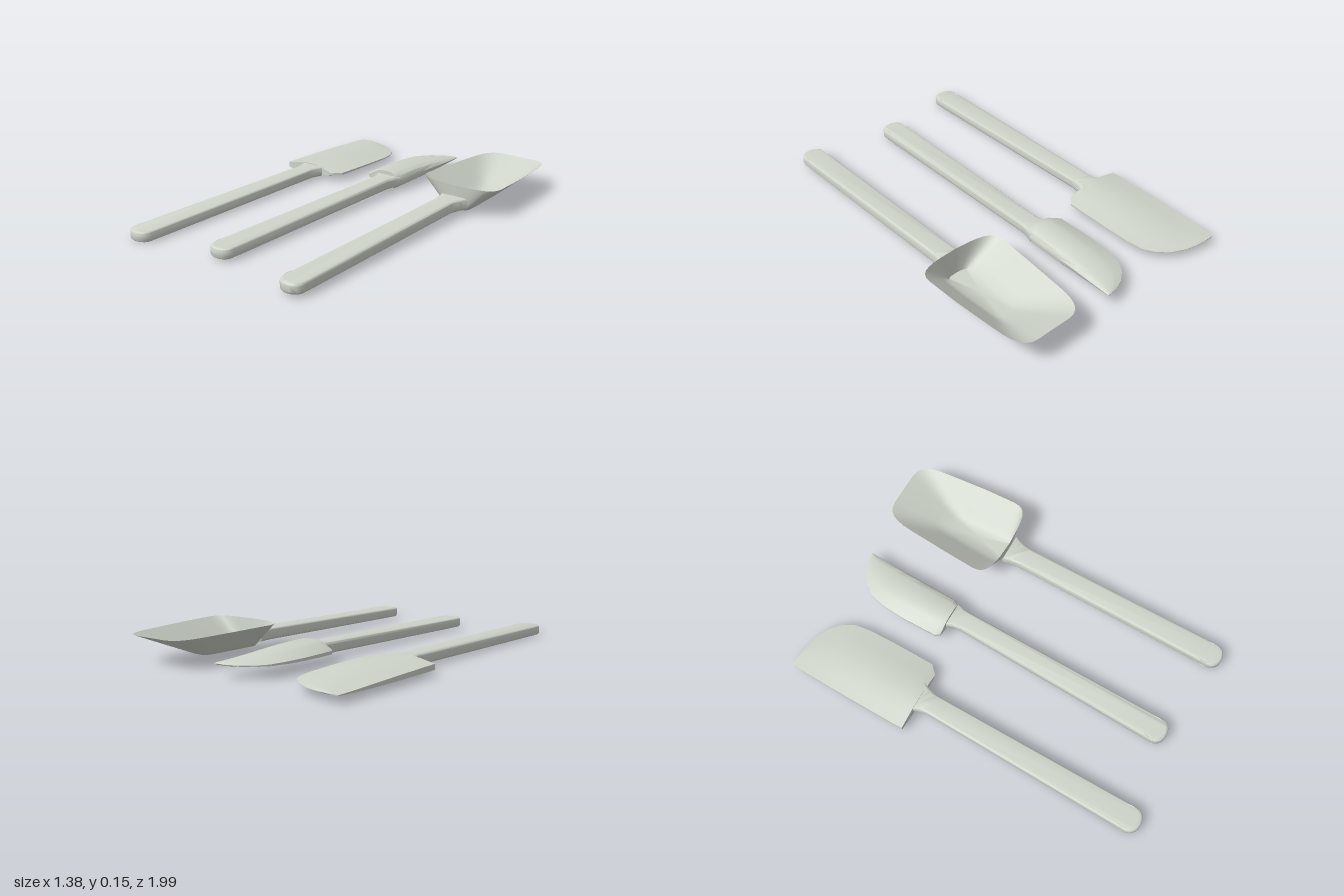
import * as THREE from 'three';
import { toCreasedNormals } from 'three/addons/utils/BufferGeometryUtils.js';

const lerp = THREE.MathUtils.lerp;

function indexed(pos, idx, crease) {
  const g = new THREE.BufferGeometry();
  g.setAttribute('position', new THREE.Float32BufferAttribute(pos, 3));
  g.setIndex(idx);
  return toCreasedNormals(g, crease);
}

// Flat bar with a rounded, pierced end and a flared neck; rises towards the blade
function handleGeometry({ end, neck, xEnd, xNeck, half, neckHalf, flare, flareX, hole, y0, y1, t0, t1 }) {
  const s = new THREE.Shape();
  s.moveTo(flareX - flare, -neck);
  s.quadraticCurveTo(xNeck - neckHalf, -neck - 0.06, xNeck - neckHalf, -neck - 0.11);
  s.lineTo(xEnd - half, -end + 0.06);
  s.bezierCurveTo(xEnd - half, -end - 0.015, xEnd + half, -end - 0.015, xEnd + half, -end + 0.06);
  s.lineTo(xNeck + neckHalf, -neck - 0.11);
  s.quadraticCurveTo(xNeck + neckHalf, -neck - 0.06, flareX + flare, -neck);
  const h = new THREE.Path();
  h.absarc(hole[0], -hole[1], 0.046, 0, Math.PI * 2, true);
  s.holes.push(h);
  const b = 0.014;
  const g = new THREE.ExtrudeGeometry(s, {
    depth: 1 - 0.5, bevelEnabled: true, bevelThickness: 0.25, bevelSize: b, bevelOffset: -b,
    bevelSegments: 4, curveSegments: 10,
  });
  // unit-thick bar becomes a tapering, sloping one
  g.translate(0, 0, 0.25).rotateX(-Math.PI / 2);
  const p = g.attributes.position;
  for (let i = 0; i < p.count; i++) {
    const k = (end - p.getZ(i)) / (end - neck);
    p.setY(i, lerp(y0, y1, k) + p.getY(i) * lerp(t0, t1, k));
  }
  return toCreasedNormals(g, 1.0);
}

// Solid blade: a section [across 0..1, thickness -1..1] swept along rows [z, xLeft, xRight, midY, halfThickness]
function bladeGeometry(section, rows) {
  const n = section.length, pos = [], idx = [];
  for (const [z, xl, xr, y, t] of rows)
    for (const [u, v] of section) pos.push(lerp(xl, xr, u), y + v * t, z);
  for (let r = 0; r < rows.length - 1; r++)
    for (let i = 0; i < n; i++) {
      const j = (i + 1) % n, a = r * n + i, b = r * n + j;
      idx.push(a, b, a + n, b, b + n, a + n);
    }
  const last = (rows.length - 1) * n;
  for (let i = 1; i < n - 1; i++) {
    idx.push(0, i + 1, i);
    idx.push(last, last + i, last + i + 1);
  }
  return indexed(pos, idx, 0.7);
}

// Open scoop: rounded rim drawn down to a narrow flat floor
function scoopGeometry() {
  const s = new THREE.Shape();
  s.moveTo(0.36, -0.325);
  s.lineTo(0.46, -0.32);
  s.lineTo(0.56, -0.325);
  s.bezierCurveTo(0.64, -0.335, 0.69, -0.345, 0.688, -0.42);
  s.lineTo(0.682, -0.6);
  s.lineTo(0.664, -0.82);
  s.bezierCurveTo(0.655, -0.95, 0.63, -1, 0.56, -1);
  s.lineTo(0.46, -1);
  s.lineTo(0.37, -1);
  s.bezierCurveTo(0.3, -0.995, 0.27, -0.95, 0.262, -0.82);
  s.lineTo(0.245, -0.6);
  s.lineTo(0.234, -0.42);
  s.bezierCurveTo(0.235, -0.35, 0.28, -0.335, 0.36, -0.325);
  const rim = s.getPoints(6).slice(0, -1), n = rim.length, pos = [], idx = [];
  const rings = 4;
  for (let r = 0; r <= rings; r++) {
    const k = r / rings;
    for (const { x, y: z } of rim) {
      const along = (z + 0.32) / -0.68;
      const fx = 0.465 + (x - 0.465) * 0.3, fz = lerp(-0.335, -0.7, along);
      pos.push(lerp(x, fx, k), lerp(lerp(0.158, 0.148, along), 0.022, k), lerp(z, fz, k));
    }
  }
  for (let r = 0; r < rings; r++)
    for (let i = 0; i < n; i++) {
      const j = (i + 1) % n, a = r * n + i, b = r * n + j;
      idx.push(a, b, a + n, b, b + n, a + n);
    }
  const c = pos.length / 3;
  pos.push(0.465, 0.022, -0.52);
  for (let i = 0; i < n; i++) idx.push(rings * n + i, rings * n + (i + 1) % n, c);
  return indexed(pos, idx, 1.0);
}

export function createModel() {
  const group = new THREE.Group();
  const mat = new THREE.MeshStandardMaterial({ color: 0xced4ca, side: THREE.DoubleSide });
  mat.name = 'pale grey';

  const utensil = (name, handle, headName, head) => {
    const g = new THREE.Group();
    g.name = name;
    const parts = { handle: handleGeometry(handle), [headName]: head };
    for (const [part, geo] of Object.entries(parts)) {
      const m = new THREE.Mesh(geo, mat);
      m.name = part;
      g.add(m);
    }
    group.add(g);
  };

  // Wide spatula: lens-shaped blade with one rounded corner
  const lens = [[0, 0.3], [0.2, 0.65], [0.38, 1], [0.62, 1], [0.8, 0.65], [1, 0.2],
    [1, -0.1], [0.75, -0.7], [0.55, -1], [0.3, -1], [0, -0.5]];
  utensil('wideSpatula', {
    end: 0.998, neck: -0.33, xEnd: -0.522, xNeck: -0.507, half: 0.067, neckHalf: 0.054,
    flare: 0.085, flareX: -0.505, hole: [-0.52, 0.912], y0: 0.003, y1: 0.02, t0: 0.054, t1: 0.057,
  }, 'wideBlade', bladeGeometry(lens, [
    [-0.305, -0.69, -0.36, 0.046, 0.036],
    [-0.35, -0.692, -0.315, 0.046, 0.036],
    [-0.6, -0.69, -0.312, 0.044, 0.03],
    [-0.75, -0.687, -0.316, 0.042, 0.023],
    [-0.83, -0.685, -0.328, 0.041, 0.018],
    [-0.89, -0.684, -0.36, 0.041, 0.014],
    [-0.94, -0.682, -0.415, 0.041, 0.01],
    [-0.975, -0.68, -0.49, 0.041, 0.007],
    [-0.992, -0.678, -0.56, 0.041, 0.005],
    [-0.998, -0.675, -0.62, 0.041, 0.003],
  ]));

  // Narrow spatula: thick straight edge on one side, thin curved edge on the other
  const wedge = [[0, 0.1], [0.28, 0.75], [0.45, 1], [0.82, 1], [0.95, 0.65], [1, 0.1],
    [0.97, -0.6], [0.85, -1], [0.4, -0.85], [0, -0.25]];
  utensil('narrowSpatula', {
    end: 0.905, neck: -0.42, xEnd: -0.05, xNeck: -0.026, half: 0.066, neckHalf: 0.052,
    flare: 0.08, flareX: -0.03, hole: [-0.05, 0.822], y0: 0.012, y1: 0.032, t0: 0.055, t1: 0.06,
  }, 'narrowBlade', bladeGeometry(wedge, [
    [-0.395, -0.155, 0.04, 0.067, 0.046],
    [-0.42, -0.172, 0.052, 0.067, 0.048],
    [-0.62, -0.174, 0.058, 0.067, 0.042],
    [-0.74, -0.166, 0.062, 0.068, 0.032],
    [-0.83, -0.146, 0.065, 0.068, 0.023],
    [-0.89, -0.108, 0.067, 0.069, 0.016],
    [-0.935, -0.05, 0.069, 0.07, 0.01],
    [-0.958, 0.005, 0.07, 0.071, 0.006],
    [-0.966, 0.045, 0.07, 0.072, 0.003],
  ]));

  // Scoop spatula: hollow bowl with sloping walls
  utensil('scoopSpatula', {
    end: 0.977, neck: -0.325, xEnd: 0.46, xNeck: 0.458, half: 0.064, neckHalf: 0.056,
    flare: 0.08, flareX: 0.465, hole: [0.457, 0.893], y0: 0.016, y1: 0.036, t0: 0.055, t1: 0.064,
  }, 'scoop', scoopGeometry());

  return group;
}
